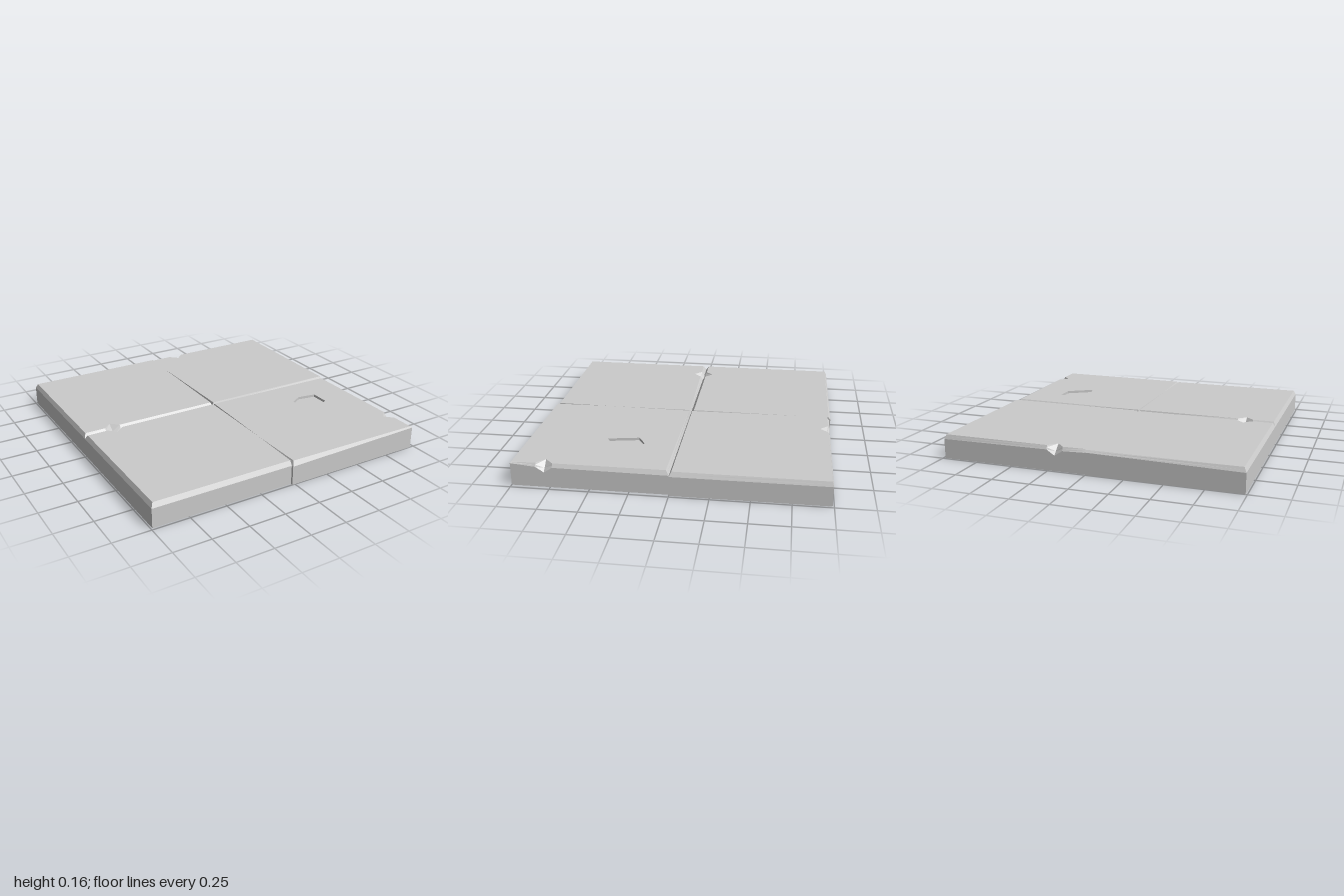
import * as THREE from 'three';

const H = 0.16; // slab height

// One outline point: foot (x, z), shoulder height, top (x, z) and optional middle (x, y, z)
function corner(fx, fz, shoulder, tx, tz, mid) {
  return {
    foot: [fx, 0, fz],
    shoulder: [fx, shoulder, fz],
    mid: mid || [(fx + tx) / 2, (shoulder + H) / 2, (fz + tz) / 2],
    top: [tx, H, tz],
  };
}

// Broken notch on an edge: centre, direction along the edge, direction into the slab
function chip(x, z, ax, az, nx, nz, bevel, size = 0.065) {
  const side = (s) => {
    const px = x + ax * s, pz = z + az * s;
    return corner(px, pz, 0.135, px + nx * bevel, pz + nz * bevel);
  };
  const apex = corner(x, z, 0.1, x + nx * size, z + nz * size,
    [x + nx * 0.022, 0.122, z + nz * 0.022]);
  return [side(-0.053), apex, side(0.053)];
}

// Closed stone slab from a counter-clockwise outline, with an optional sunken pit in its top
function slab(name, points, material, pit) {
  const pos = [];
  const tri = (a, b, c) => pos.push(...a, ...b, ...c);
  const band = (low, high) => low.forEach((p, i) => {
    const j = (i + 1) % low.length;
    tri(p, low[j], high[j]);
    tri(p, high[j], high[i]);
  });
  const cap = (ring, hole, down) => {
    const flat = (r) => r.map((p) => new THREE.Vector2(p[0], -p[2]));
    const all = hole ? ring.concat(hole) : ring;
    const holes = hole ? [flat(hole)] : [];
    for (const [a, b, c] of THREE.ShapeUtils.triangulateShape(flat(ring), holes)) {
      if (down) tri(all[a], all[c], all[b]);
      else tri(all[a], all[b], all[c]);
    }
  };
  const ring = (key) => points.map((p) => p[key]);
  band(ring('foot'), ring('shoulder'));
  band(ring('shoulder'), ring('mid'));
  band(ring('mid'), ring('top'));
  cap(ring('foot'), null, true);

  if (pit) {
    const rim = pit.map(([x, z]) => [x, H, z]);
    const floor = pit.map(([x, z]) => [x, H - 0.018, z]);
    cap(ring('top'), [...rim].reverse());
    band(rim, floor);
    cap(floor);
  } else cap(ring('top'));

  const geometry = new THREE.BufferGeometry();
  geometry.setAttribute('position', new THREE.Float32BufferAttribute(pos, 3));
  geometry.computeVertexNormals();
  const mesh = new THREE.Mesh(geometry, material);
  mesh.name = name;
  return mesh;
}

export function createModel() {
  const group = new THREE.Group();
  group.name = 'pavingSlabs';
  const stone = new THREE.MeshStandardMaterial({ color: 0xcccccc, flatShading: true });

  // Slab behind on the right-hand side of the model (-x)
  group.add(slab('backRightSlab', [
    corner(-0.99, -0.01, 0.13, -0.975, -0.03),
    ...chip(-0.78, -0.01, 1, 0, 0, -1, 0.02, 0.07),
    corner(-0.004, -0.005, 0.13, -0.012, -0.028),
    corner(-0.004, -0.78, H, -0.004, -0.78),
    corner(0, -1, 0.145, 0, -0.988),
    corner(-0.99, -1, 0.13, -0.975, -0.985),
  ], stone));

  // Slab behind on the left-hand side (+x)
  group.add(slab('backLeftSlab', [
    corner(-0.004, -0.005, 0.13, 0.006, -0.018),
    corner(0.985, 0, 0.13, 0.97, -0.016),
    corner(0.985, -0.99, 0.13, 0.972, -0.98),
    ...chip(0.205, -0.99, -1, 0, 0, 1, 0.012),
    corner(0, -0.99, 0.14, 0, -0.975),
    corner(-0.004, -0.78, H, -0.004, -0.78),
  ], stone));

  // Front slab at -x
  group.add(slab('frontRightSlab', [
    corner(-0.99, 0.985, 0.13, -0.975, 0.967),
    corner(-0.02, 0.985, 0.13, -0.02, 0.967),
    corner(-0.01, 0.6, H, -0.01, 0.6),
    corner(-0.004, -0.005, 0.13, -0.011, 0.008),
    ...chip(-0.78, -0.01, -1, 0, 0, -1 * -1, 0.02, 0.07),
    corner(-0.99, -0.01, 0.13, -0.975, 0.012),
  ], stone));

  // Front slab at +x, with a flaked pit in its face
  group.add(slab('frontLeftSlab', [
    corner(-0.02, 1, 0.13, -0.004, 0.98),
    corner(0.97, 1, 0.15, 0.958, 0.993),
    ...chip(0.97, 0.785, 0, -1, -1, 0, 0.013),
    corner(0.97, 0, 0.13, 0.955, 0.02),
    corner(-0.004, -0.005, 0.13, 0.001, 0.005),
    corner(-0.01, 0.6, H, -0.01, 0.6),
  ], stone, [[0.55, 0.475], [0.72, 0.37], [0.72, 0.24], [0.59, 0.22], [0.51, 0.27]]));

  return group;
}
